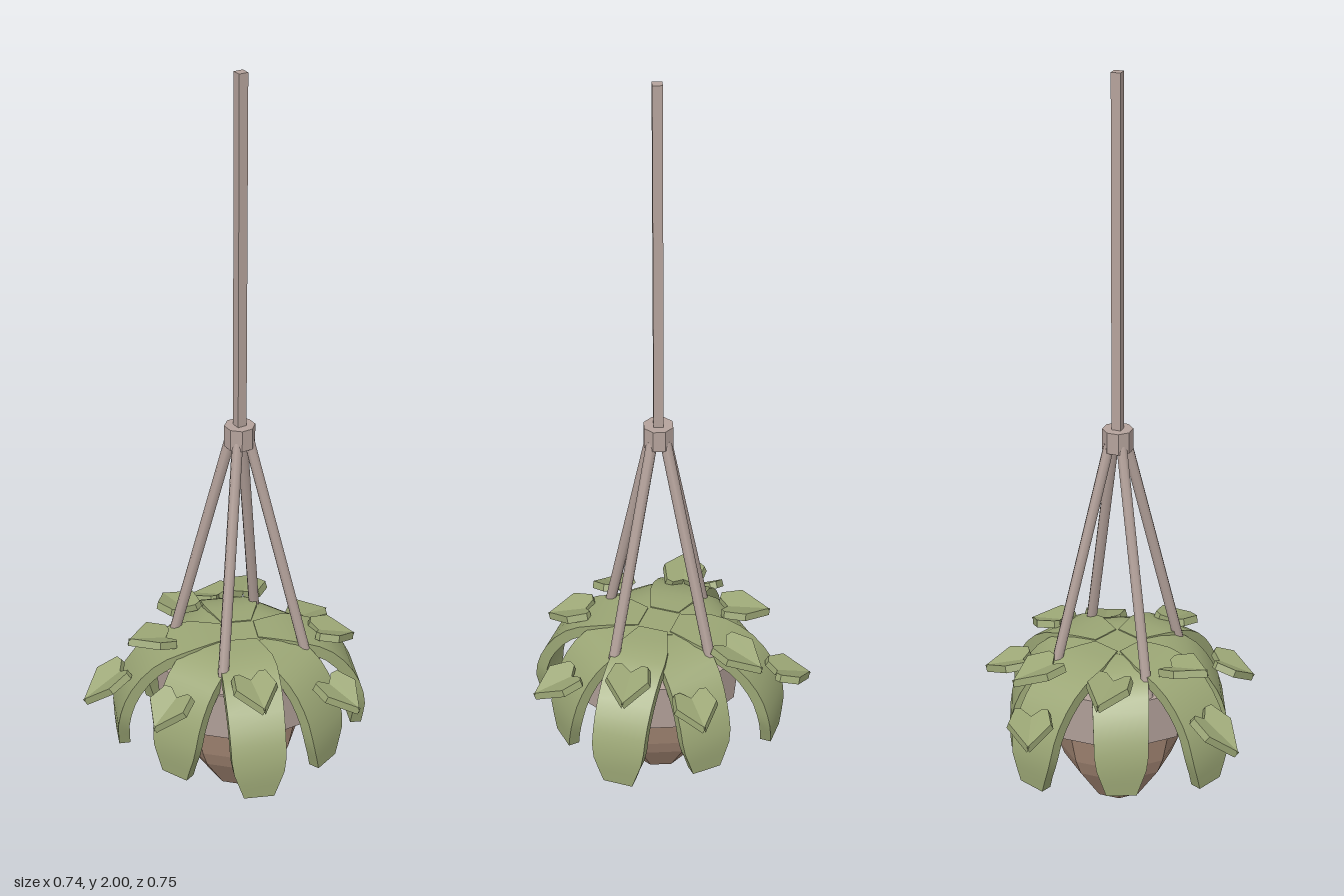
import * as THREE from 'three';

const mat = (name, color, side = THREE.FrontSide) => {
  const m = new THREE.MeshStandardMaterial({ color, side });
  m.name = name;
  return m;
};

export function createModel() {
  const model = new THREE.Group();
  model.name = 'hangingPlanter';
  const plant = new THREE.Group();
  plant.name = 'planter';
  plant.position.set(0.02, 0, 0.03);
  model.add(plant);

  const rope = mat('palePinkGrey', 0xb5a39c);
  const clay = mat('clayBrown', 0xa58875);
  const green = mat('leafGreen', 0x9ba675);

  const add = (parent, name, geometry, material) => {
    const mesh = new THREE.Mesh(geometry, material);
    mesh.name = name;
    parent.add(mesh);
    return mesh;
  };

  // Octagonal turned parts, flat sides facing the axes; radii measured to the flats
  const octagon = (name, profile, material) => {
    const pts = profile.map(([r, y]) => new THREE.Vector2(r / Math.cos(Math.PI / 8), y));
    const geo = new THREE.LatheGeometry(pts, 8, Math.PI / 8).toNonIndexed();
    geo.computeVertexNormals();
    return add(plant, name, geo, material);
  };
  octagon('pot', [[0, 0], [0.07, 0], [0.135, 0.1], [0.152, 0.145], [0.172, 0.245]], clay);
  octagon('potRim', [[0.16, 0.24], [0.198, 0.24], [0.21, 0.38], [0, 0.385]], rope);
  octagon('ropeCollar', [[0, 1.012], [0.037, 1.012], [0.037, 1.07], [0, 1.07]], rope);

  // Hanging rod
  add(plant, 'hangingRod', new THREE.BoxGeometry(0.025, 0.94, 0.025), rope).position.y = 1.53;

  // Four ropes from collar to rim
  for (const sx of [-1, 1]) for (const sz of [-1, 1]) {
    const a = new THREE.Vector3(sx * 0.017, 1.03, sz * 0.017);
    const b = new THREE.Vector3(sx * 0.136, 0.37, sz * 0.136);
    const dir = a.clone().sub(b);
    const m = add(plant, 'rope', new THREE.CylinderGeometry(0.0145, 0.0145, dir.length(), 8), rope);
    m.position.copy(a).add(b).multiplyScalar(0.5);
    m.quaternion.setFromUnitVectors(new THREE.Vector3(0, 1, 0), dir.normalize());
  }

  // Drooping leaf: a box bent along a curve; path points are [radius, height, half width]
  const leafGeometry = (path) => {
    const n = 12;
    const geo = new THREE.BoxGeometry(1, 1, 1, 1, 1, n);
    const line = new THREE.CatmullRomCurve3(path.map(([r, y]) => new THREE.Vector3(0, y, r)));
    const pos = geo.attributes.position;
    for (let i = 0; i < pos.count; i++) {
      const t = pos.getZ(i) + 0.5;
      const p = line.getPoint(t);
      const d = line.getTangent(t);
      const k = Math.min(t * (path.length - 1), path.length - 1.0001);
      const j = Math.floor(k);
      const half = THREE.MathUtils.lerp(path[j][2], path[j + 1][2], k - j);
      const down = (pos.getY(i) - 0.5) * 0.03;
      pos.setXYZ(i, pos.getX(i) * 2 * half, p.y + d.z * down, p.z - d.y * down);
    }
    geo.computeVertexNormals();
    return geo;
  };
  const longLeaf = leafGeometry([[0.045, 0.452, 0.04], [0.14, 0.447, 0.074], [0.235, 0.41, 0.075],
    [0.305, 0.33, 0.073], [0.335, 0.24, 0.071], [0.333, 0.148, 0.04]]);
  const shortLeaf = leafGeometry([[0.045, 0.449, 0.04], [0.13, 0.443, 0.073], [0.21, 0.405, 0.074],
    [0.265, 0.33, 0.072], [0.292, 0.24, 0.07], [0.29, 0.148, 0.04]]);
  for (let i = 0; i < 8; i++) {
    const leaf = add(plant, i % 2 ? 'longLeaf' : 'shortLeaf', i % 2 ? longLeaf : shortLeaf, green);
    leaf.rotation.y = Math.PI / 8 + i * Math.PI / 4;
  }

  // Crown where the leaves meet
  add(plant, 'leafCrown', new THREE.BoxGeometry(0.132, 0.05, 0.132), green).position.y = 0.424;

  // Small pointed leaflets folded along the middle: base xyz, tip xyz
  const leaflets = [
    [0.15, 0.36, -0.26, 0.115, 0.32, -0.37],
    [0.125, 0.44, -0.125, 0.215, 0.42, -0.23],
    [-0.04, 0.435, -0.14, -0.04, 0.42, -0.275],
    [-0.25, 0.35, -0.1, -0.37, 0.27, -0.125],
    [-0.145, 0.435, -0.045, -0.265, 0.46, -0.065],
    [-0.215, 0.385, 0.125, -0.32, 0.335, 0.165],
    [-0.06, 0.43, 0.205, -0.085, 0.4, 0.325],
    [0.145, 0.37, 0.25, 0.18, 0.335, 0.37],
    [0.2, 0.43, 0.11, 0.315, 0.4, 0.142],
    [0.25, 0.375, -0.035, 0.365, 0.35, -0.068],
  ];
  for (const [bx, by, bz, tx, ty, tz] of leaflets) {
    const group = new THREE.Group();
    group.name = 'leaflet';
    const along = new THREE.Vector3(tx - bx, ty - by, tz - bz);
    const L = along.length();
    along.normalize();
    const across = along.clone().cross(new THREE.Vector3(0, 1, 0)).normalize();
    const up = across.clone().cross(along);
    group.quaternion.setFromRotationMatrix(new THREE.Matrix4().makeBasis(across, along, up));
    group.position.set(bx, by, bz);
    for (const s of [-1, 1]) {
      const shape = new THREE.Shape([[0, 0.16 * L], [s * 0.03, 0], [s * 0.048, 0.04 * L],
        [s * 0.06, 0.46 * L], [0, L]].map(([x, y]) => new THREE.Vector2(x, y)));
      const geo = new THREE.ExtrudeGeometry(shape, { depth: 0.02, bevelEnabled: false });
      geo.translate(0, 0, -0.012);
      add(group, 'leafletHalf', geo, green).rotation.y = -s * 0.3;
    }
    model.add(group);
  }

  return model;
}
